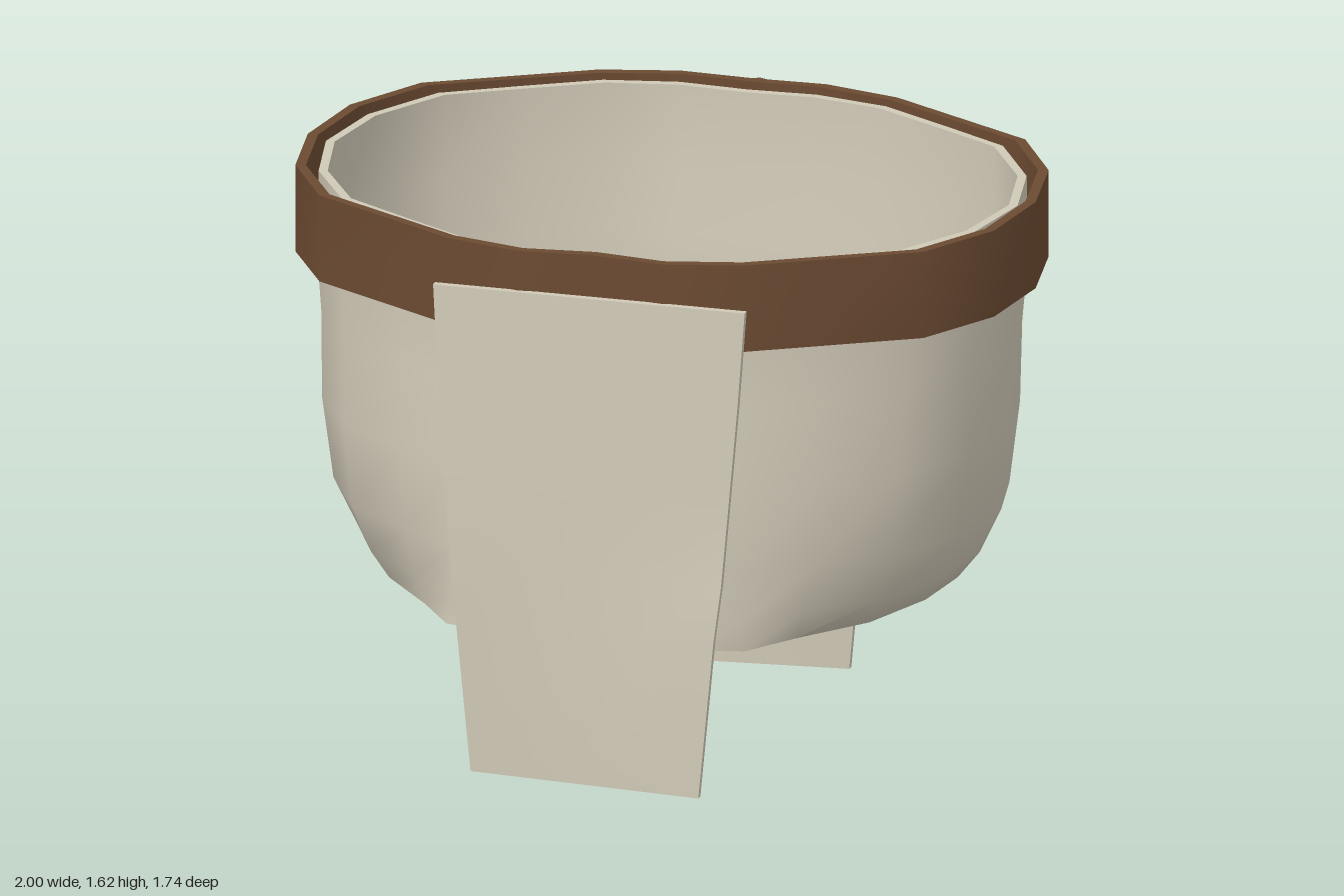
import * as THREE from 'three';
import { toCreasedNormals } from 'three/addons/utils/BufferGeometryUtils.js';

const cloth = new THREE.MeshStandardMaterial({ color: 0xcfc8b6 });
const leather = new THREE.MeshStandardMaterial({ color: 0x6b4a32 });

// Full outline from its +x half, listed front to back as [x, z]
function mirrorOutline(half) {
  const other = half.slice(1, -1).reverse().map(([x, z]) => [-x, z]);
  return [...half, ...other];
}

// Walled ring: levels run bottom to top, each { y, pts }; the inner wall sits t inside
function shell(levels, t, crease) {
  const outer = levels.map(({ y, pts }) => pts.map(([x, z]) => [x, y, z]));
  const inner = outer.map(ring => ring.map(([x, y, z]) => {
    const k = 1 - t / Math.hypot(x, z);
    return [x * k, y, z * k];
  })).reverse();
  const rings = [...outer, ...inner];
  const n = rings[0].length, m = rings.length, index = [];
  for (let i = 0; i < m; i++) {
    for (let j = 0; j < n; j++) {
      const a = i * n + j, b = i * n + (j + 1) % n;
      const up = ((i + 1) % m) * n;
      const c = up + (j + 1) % n, d = up + j;
      index.push(a, b, c, a, c, d);
    }
  }
  const geo = new THREE.BufferGeometry();
  geo.setAttribute('position', new THREE.Float32BufferAttribute(rings.flat(2), 3));
  geo.setIndex(index);
  return toCreasedNormals(geo, crease);
}

// Hanging panel: rows run top to bottom as [y, half width, z, twist]
function panel(rows, t) {
  const geo = new THREE.BoxGeometry(2, rows.length - 1, t, 4, rows.length - 1, 1);
  const p = geo.attributes.position;
  for (let i = 0; i < p.count; i++) {
    const row = Math.round((rows.length - 1) / 2 - p.getY(i));
    const [y, w, z, twist] = rows[row];
    const u = p.getX(i);
    p.setXYZ(i, u * w, y, p.getZ(i) + z + u * twist);
  }
  return toCreasedNormals(geo, 0.7);
}

export function createModel() {
  const model = new THREE.Group();
  model.name = 'loincloth';
  const add = (name, geo, mat) => {
    const mesh = new THREE.Mesh(geo, mat);
    mesh.name = name;
    model.add(mesh);
    return mesh;
  };

  // Belt: faceted oval band
  const beltOutline = mirrorOutline([
    [0, 0.765], [0.2, 0.787], [0.41, 0.735], [0.83, 0.495], [0.96, 0.275], [1, 0.02],
    [0.96, -0.24], [0.83, -0.465], [0.41, -0.7], [0.2, -0.752], [0, -0.745],
  ]);
  add('belt', shell([{ y: 1.375, pts: beltOutline }, { y: 1.615, pts: beltOutline }], 0.028, 0.7), leather);

  // Wrap: blends from the waist outline to the narrower hem
  const waist = [
    [0, 0.725], [0.2, 0.748], [0.39, 0.7], [0.585, 0.585], [0.78, 0.465], [0.905, 0.26], [0.955, 0.02],
    [0.91, -0.22], [0.78, -0.44], [0.585, -0.555], [0.39, -0.665], [0.19, -0.705], [0, -0.695],
  ];
  const hem = [
    [0, 0.77], [0.2, 0.79], [0.41, 0.74], [0.51, 0.6], [0.66, 0.42], [0.75, 0.2], [0.78, 0],
    [0.75, -0.19], [0.66, -0.35], [0.52, -0.51], [0.4, -0.63], [0.19, -0.655], [0, -0.645],
  ];
  // [y, blend, width scale, front scale, back scale]
  const wrapLevels = [
    [0.542, 1, 0.98, 1.06, 0.93], [0.62, 0.6, 0.98, 1.06, 0.93], [0.75, 0.2, 0.98, 1.06, 0.93],
    [0.98, 0, 0.98, 1.06, 0.93], [1.2, 0, 0.985, 1.01, 0.95], [1.375, 0, 1, 1, 0.99], [1.6, 0, 0.995, 1, 1],
  ].map(([y, b, sx, front, back]) => ({
    y,
    pts: mirrorOutline(waist.map(([x, z], i) => [
      THREE.MathUtils.lerp(x * sx, hem[i][0], b),
      THREE.MathUtils.lerp(z * (z > 0 ? front : back), hem[i][1], b),
    ])),
  }));
  add('wrap', shell(wrapLevels, 0.024, 1), cloth);

  // Hanging flaps
  add('frontFlap', panel([
    [1.505, 0.428, 0.792, 0], [1.25, 0.412, 0.803, 0], [1.0, 0.393, 0.815, 0], [0.75, 0.374, 0.825, 0.004],
    [0.6, 0.36, 0.835, 0.018], [0.165, 0.32, 0.834, 0.024],
  ], 0.02), cloth);
  add('backFlap', panel([
    [1.505, 0.402, -0.777, 0], [1.25, 0.38, -0.75, 0], [1.0, 0.358, -0.722, 0], [0.75, 0.338, -0.711, -0.004],
    [0.6, 0.325, -0.711, -0.02], [0, 0.27, -0.71, -0.028],
  ], 0.02), cloth);

  // Knot at the back of the belt
  const knotMat = leather.clone();
  knotMat.flatShading = true;
  const knot = add('knot', new THREE.SphereGeometry(1, 8, 5), knotMat);
  knot.scale.set(0.115, 0.096, 0.06);
  knot.position.set(0, 1.5, -0.81);

  return model;
}
